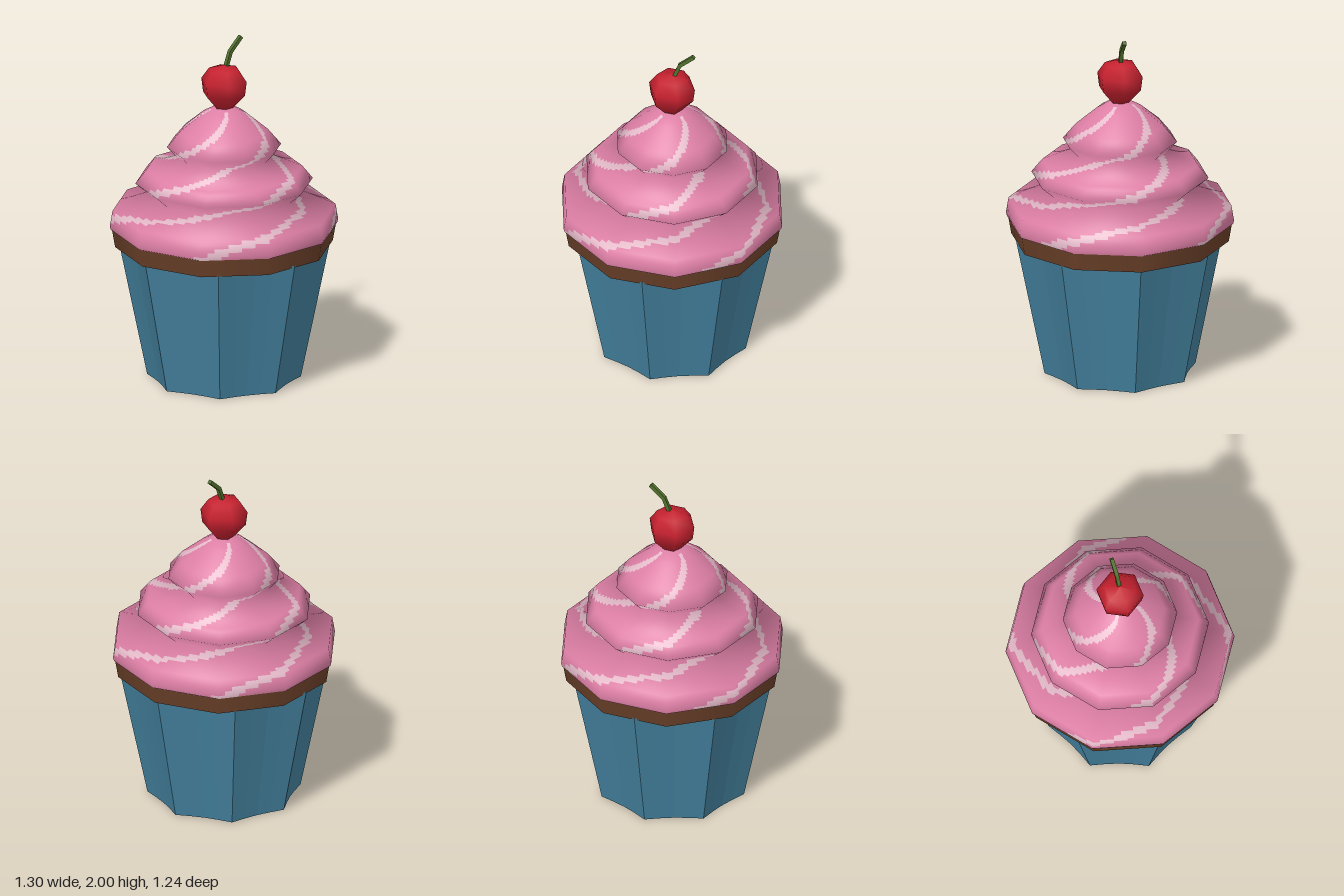
import * as THREE from 'three';

const mat = (name, color, side = THREE.FrontSide) => {
  const m = new THREE.MeshStandardMaterial({ color, side });
  m.name = name;
  return m;
};

// Linear lookup in a list of [key, value] pairs
function lookup(table, k) {
  let i = 0;
  while (i < table.length - 2 && k > table[i + 1][0]) i++;
  const [k0, v0] = table[i], [k1, v1] = table[i + 1];
  return v0 + (v1 - v0) * (k - k0) / (k1 - k0);
}

// Three-tier frosting profile, [radius, height]
const frostingProfile = [
  [0.645, 0.89], [0.65, 0.91], [0.635, 1.0], [0.43, 1.095], [0.505, 1.16], [0.445, 1.235],
  [0.27, 1.31], [0.325, 1.37], [0.25, 1.46], [0.13, 1.56], [0.06, 1.6], [0, 1.605],
];
// Angle in degrees of a swirl stripe at each height
const swirl = [
  [0.89, 143], [0.95, 128], [1.0, 112], [1.03, 94], [1.06, 70], [1.1, 44], [1.16, 11],
  [1.235, -18], [1.3, -47], [1.37, -88], [1.42, -105], [1.5, -127], [1.6, -152],
];

// Ten-sided lathe cut into small cells; cells on the four spiral stripes use material 1
function frostingGeometry() {
  const cols = 100, side = Math.PI / 5;
  const slopes = frostingProfile.slice(1).map(([r, y], i) => {
    const [r0, y0] = frostingProfile[i];
    return new THREE.Vector2(y - y0, r0 - r).normalize();
  });
  const pointNormals = frostingProfile.map((p, i) => new THREE.Vector2()
    .add(slopes[Math.max(i - 1, 0)])
    .add(slopes[Math.min(i, slopes.length - 1)]).normalize());

  const rows = [];
  for (let i = 0; i < slopes.length; i++) {
    const [r0, y0] = frostingProfile[i], [r1, y1] = frostingProfile[i + 1];
    const n = Math.max(1, Math.round(Math.hypot(r1 - r0, y1 - y0) / 0.022));
    for (let k = i ? 1 : 0; k <= n; k++) {
      const t = k / n;
      rows.push({
        r: r0 + (r1 - r0) * t, y: y0 + (y1 - y0) * t,
        n: pointNormals[i].clone().lerp(pointNormals[i + 1], t).normalize(),
      });
    }
  }
  const pos = [], nor = [], base = [], stripe = [];
  rows.forEach(({ r, y, n }, j) => {
    for (let c = 0; c <= cols; c++) {
      const a = c / cols * Math.PI * 2;
      const d = r * Math.cos(side / 2) / Math.cos((c % 10) / 10 * side - side / 2);
      pos.push(d * Math.cos(a), y, d * Math.sin(a));
      nor.push(n.x * Math.cos(a), n.y, n.x * Math.sin(a));
      if (!j || !c) continue;
      const p11 = j * (cols + 1) + c, p01 = p11 - 1, p10 = p11 - cols - 1, p00 = p10 - 1;
      const mid = (y + rows[j - 1].y) / 2;
      const off = (c - 0.5) * 360 / cols - lookup(swirl, mid);
      const near = Math.abs(off - 90 * Math.round(off / 90));
      (near < 6.5 && mid < 1.59 ? stripe : base).push(p10, p00, p01, p10, p01, p11);
    }
  });
  const g = new THREE.BufferGeometry();
  g.setAttribute('position', new THREE.Float32BufferAttribute(pos, 3));
  g.setAttribute('normal', new THREE.Float32BufferAttribute(nor, 3));
  g.setIndex([...base, ...stripe]);
  g.addGroup(0, base.length, 0);
  g.addGroup(base.length, stripe.length, 1);
  return g;
}

// Open paper cup: eight panels, each bowed slightly inwards
function cupGeometry() {
  const g = new THREE.CylinderGeometry(0.6, 0.436, 0.8, 32, 1, true);
  const p = g.attributes.position;
  const panel = Math.PI / 4;
  for (let i = 0; i < p.count; i++) {
    const t = (i % 33 % 4) / 4;
    const chord = Math.cos(panel / 2) / Math.cos(t * panel - panel / 2);
    const f = chord - 0.03 * Math.sin(Math.PI * t);
    p.setXYZ(i, p.getX(i) * f, p.getY(i) + 0.4, p.getZ(i) * f);
  }
  const flat = g.toNonIndexed();
  flat.computeVertexNormals();
  return flat;
}

export function createModel() {
  const group = new THREE.Group();
  const blue = mat('cup blue', 0x44829f, THREE.DoubleSide);
  const brown = mat('cake brown', 0x6b4029);
  const pink = mat('frosting pink', 0xdd7fa5);
  const pale = mat('stripe pale pink', 0xe6bccb);
  const red = mat('cherry red', 0xc4202e);
  const green = mat('stem green', 0x50702c);

  const add = (name, geometry, material) => {
    const m = new THREE.Mesh(geometry, material);
    m.name = name;
    group.add(m);
    return m;
  };

  add('paperCup', cupGeometry(), blue);

  // Cake edge above the cup
  const cake = add('cakeEdge', new THREE.CylinderGeometry(0.638, 0.62, 0.105, 10, 1, true), brown);
  cake.rotation.y = Math.PI / 2;
  cake.position.y = 0.8375;

  add('frosting', frostingGeometry(), [pink, pale]);
  const under = add('frostingUnderside', new THREE.CircleGeometry(0.645, 10), pink);
  under.rotation.x = Math.PI / 2;
  under.position.y = 0.89;

  // Six-sided cherry
  const cherryProfile = [[0, 1.59], [0.05, 1.595], [0.125, 1.68], [0.135, 1.76], [0.09, 1.825], [0, 1.85]]
    .map(([x, y]) => new THREE.Vector2(x, y));
  const cherry = add('cherry', new THREE.LatheGeometry(cherryProfile, 6), red);
  cherry.rotation.y = Math.PI / 2;

  // Bent stem in two straight pieces
  const stemPoints = [[0.012, 1.83], [0.048, 1.92], [0.125, 1.99]].map(([x, y]) => new THREE.Vector3(x, y, 0));
  for (let i = 0; i < 2; i++) {
    const a = stemPoints[i], b = stemPoints[i + 1];
    const dir = b.clone().sub(a);
    const piece = add('cherryStem', new THREE.BoxGeometry(0.022, dir.length() + 0.008, 0.022), green);
    piece.position.copy(a).add(b).multiplyScalar(0.5);
    piece.rotation.z = -Math.atan2(dir.x, dir.y);
  }
  return group;
}
